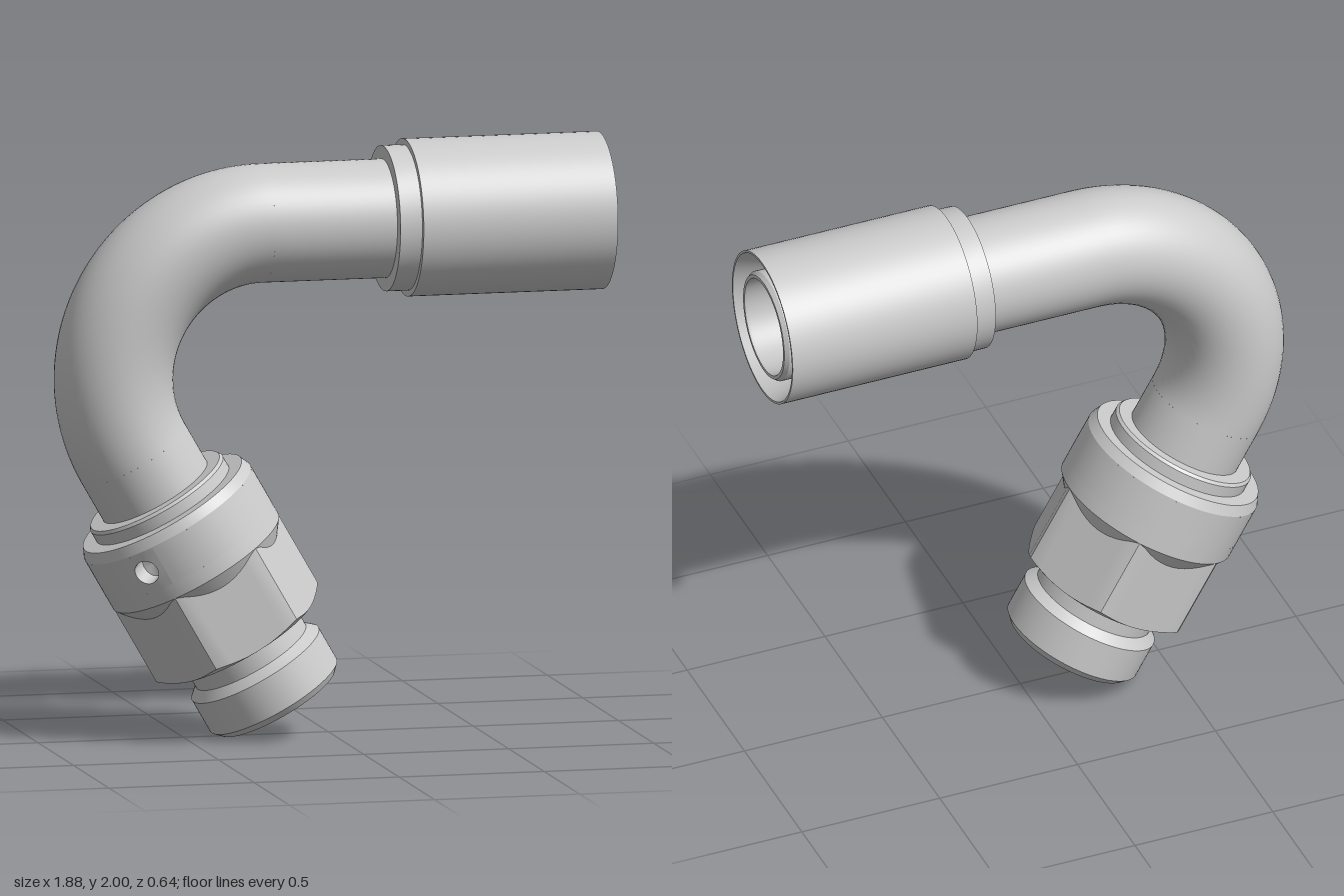
import * as THREE from 'three';
import { toCreasedNormals } from 'three/addons/utils/BufferGeometryUtils.js';

const SEG = 72;
const PIPE_R = 0.2, BEND_R = 0.51, AXIS_Y = 1.735, BEND_X = -0.23;
const material = new THREE.MeshStandardMaterial({ color: 0xcccccc, side: THREE.DoubleSide });

function addMesh(parent, name, geometry) {
  const mesh = new THREE.Mesh(geometry, material);
  mesh.name = name;
  parent.add(mesh);
  return mesh;
}

// Turned part from [radius, height] pairs, with sharp machined edges
function turned(profile, start = 0, length = Math.PI * 2) {
  const points = profile.map(([r, y]) => new THREE.Vector2(r, y));
  return toCreasedNormals(new THREE.LatheGeometry(points, SEG, start, length), 0.4);
}

// Point on a circle of radius r about the y axis
const polar = (r, phi, y) => [r * Math.sin(phi), y, r * Math.cos(phi)];

// Skin over rows of points; each row has the same number of columns
function skin(rows) {
  const n = rows[0].length, index = [];
  for (let i = 0; i < rows.length - 1; i++) {
    for (let j = 0; j < n - 1; j++) {
      const a = i * n + j, b = a + 1, c = a + n, d = c + 1;
      index.push(a, b, c, b, d, c);
    }
  }
  const geometry = new THREE.BufferGeometry();
  geometry.setAttribute('position', new THREE.Float32BufferAttribute(rows.flat(2), 3));
  geometry.setIndex(index);
  return toCreasedNormals(geometry, 0.3);
}

// Hexagon whose ends blend into a cone above and a chamfer below
function hexGeometry(top, bottom, apothem, maxR) {
  const rows = [[], [], [], []];
  for (let j = 0; j <= SEG; j++) {
    const phi = (j / SEG) * Math.PI * 2;
    const fromFlat = (((j + SEG / 12) % (SEG / 6)) - SEG / 12) * (Math.PI * 2 / SEG);
    const r = Math.min(apothem / Math.cos(fromFlat), maxR);
    rows[0].push(polar(apothem, phi, bottom));
    rows[1].push(polar(r, phi, bottom + (r - apothem) * 0.577));
    rows[2].push(polar(r, phi, top - (maxR - r) * 1.4));
    rows[3].push(polar(maxR, phi, top));
  }
  return skin(rows);
}

// Curved patch of a cylinder wall with a blind round hole in it
function holePatch(wallR, phi, y, halfAngle, halfHeight, holeR) {
  const rows = [[], [], [], []];
  for (let j = 0; j <= 32; j++) {
    const a = (j / 32) * Math.PI * 2, c = Math.cos(a), s = Math.sin(a);
    const k = 1 / Math.max(Math.abs(c), Math.abs(s));
    const circle = (r) => polar(r, phi + (c * holeR) / wallR, y + s * holeR);
    rows[0].push(polar(wallR, phi + c * k * halfAngle, y + s * k * halfHeight));
    rows[1].push(circle(wallR));
    rows[2].push(circle(wallR - 0.06));
    rows[3].push(polar(wallR - 0.075, phi, y));
  }
  return skin(rows);
}

export function createModel() {
  const model = new THREE.Group();
  model.name = 'bentHoseFitting';

  // Bent pipe: horizontal run and 120 degree bend
  const runLength = 0.25 - BEND_X;
  const run = addMesh(model, 'pipeRun', new THREE.CylinderGeometry(PIPE_R, PIPE_R, runLength, SEG, 1, true));
  run.rotation.z = -Math.PI / 2;
  run.position.set(BEND_X + runLength / 2, AXIS_Y, 0);

  const bend = addMesh(model, 'pipeBend', new THREE.TorusGeometry(BEND_R, PIPE_R, 48, 64, Math.PI * 2 / 3));
  bend.rotation.z = Math.PI / 2;
  bend.position.set(BEND_X, AXIS_Y - BEND_R, 0);

  // Crimp sleeve with its rear collar and the nipple inside its mouth
  const hoseEnd = new THREE.Group();
  hoseEnd.name = 'hoseEnd';
  hoseEnd.rotation.z = -Math.PI / 2;
  hoseEnd.position.y = AXIS_Y;
  model.add(hoseEnd);
  addMesh(hoseEnd, 'crimpSleeve', turned([
    [PIPE_R, 0.19], [0.245, 0.19], [0.245, 0.265], [0.265, 0.265], [0.265, 0.935],
    [0.257, 0.935], [0.225, 0.83], [0.18, 0.83],
  ]));
  addMesh(hoseEnd, 'nipple', turned([
    [0.19, 0.83], [0.19, 0.915], [0.18, 0.93], [0.168, 0.93], [0.165, 0.92], [0.165, 0.35], [0, 0.25],
  ]));

  // Threaded end, hung along the slanted axis from the end of the bend
  const fitting = new THREE.Group();
  fitting.name = 'threadedEnd';
  fitting.rotation.z = Math.PI / 6;
  fitting.position.set(
    BEND_X - BEND_R * Math.cos(Math.PI / 6), AXIS_Y - BEND_R * 1.5, 0);
  model.add(fitting);

  const stub = addMesh(fitting, 'pipeStub', new THREE.CylinderGeometry(PIPE_R, PIPE_R, 0.24, SEG, 1, true));
  stub.position.y = -0.12;

  // Round collar of the nut, with one blind hole in its side
  const collarR = 0.32, holePhi = -0.66, holeY = -0.308, halfAngle = 0.2, halfHeight = 0.07;
  const bandTop = holeY + halfHeight, bandBottom = holeY - halfHeight;
  addMesh(fitting, 'collarTop', turned([
    [collarR, bandTop], [collarR, -0.235], [0.304, -0.2], [0.255, -0.2],
    [0.255, -0.16], [0.247, -0.15], [PIPE_R, -0.15],
  ]));
  addMesh(fitting, 'collarBand', turned(
    [[collarR, bandBottom], [collarR, bandTop]],
    holePhi + halfAngle, Math.PI * 2 - 2 * halfAngle));
  addMesh(fitting, 'collarHole', holePatch(collarR, holePhi, holeY, halfAngle, halfHeight, 0.042));
  addMesh(fitting, 'collarBottom', turned([[collarR, -0.43], [collarR, bandBottom]]));

  addMesh(fitting, 'hexNut', hexGeometry(-0.43, -0.735, 0.283, collarR));

  // Tapered bore, threaded spigot and undercut neck in one profile
  addMesh(fitting, 'spigot', turned([
    [0, -0.4], [0.14, -0.48], [0.14, -0.72], [0.203, -0.99], [0.222, -0.99],
    [0.245, -0.965], [0.245, -0.84], [0.212, -0.81], [0.212, -0.735], [0.283, -0.735],
  ]));

  return model;
}
